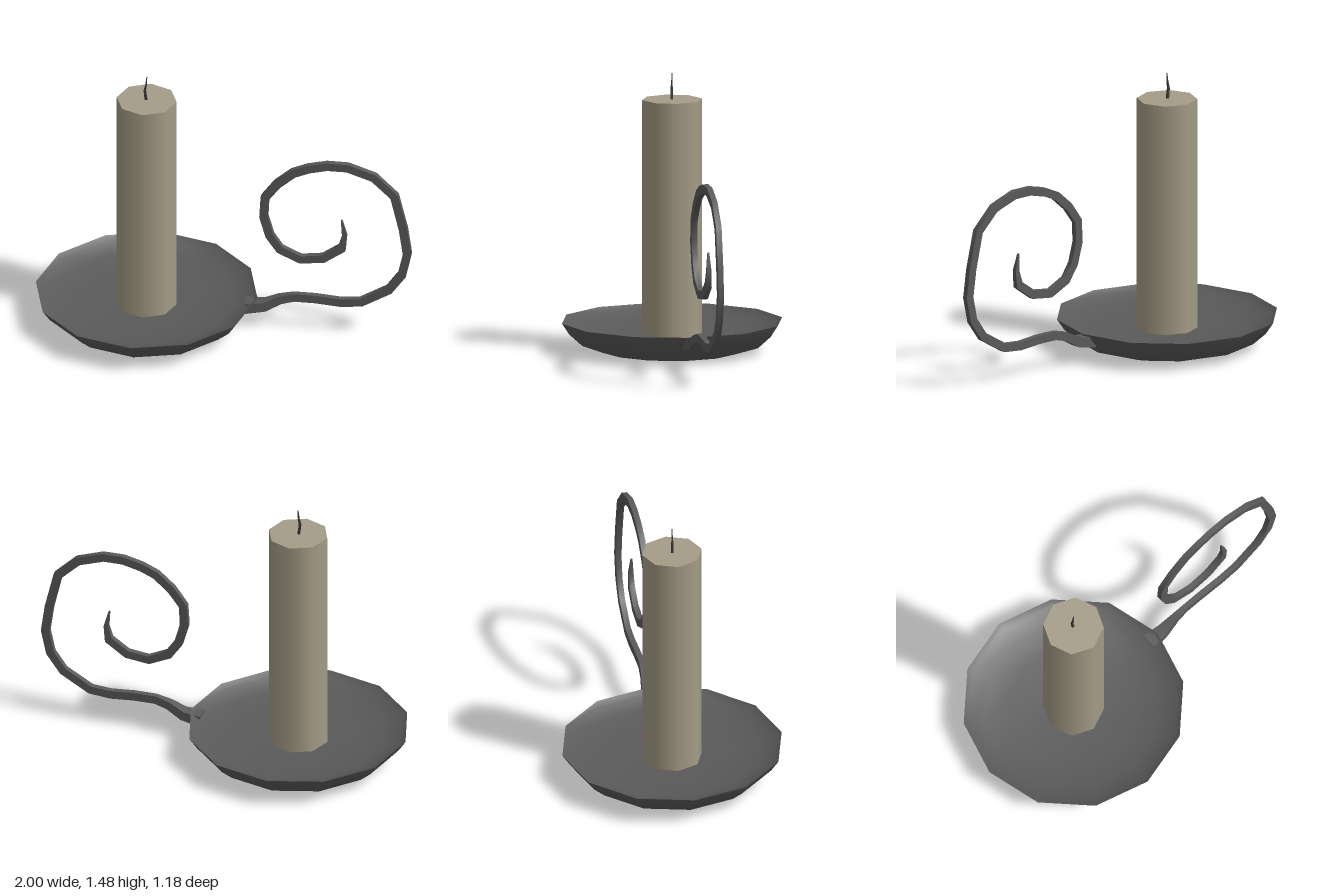
import * as THREE from 'three';
import { toCreasedNormals } from 'three/addons/utils/BufferGeometryUtils.js';

const AXIS_X = -0.41; // centre of dish and candle

// Sweeps a rectangular bar along points [x, y, halfHeight, halfDepth] in the XY plane
function sweepBar(path) {
  const pos = [], idx = [], n = path.length;
  path.forEach(([x, y, h, d], i) => {
    const a = path[Math.max(i - 1, 0)], b = path[Math.min(i + 1, n - 1)];
    const t = new THREE.Vector2(b[0] - a[0], b[1] - a[1]).normalize();
    for (const [u, w] of [[1, 1], [1, -1], [-1, -1], [-1, 1]])
      pos.push(x - t.y * h * u, y + t.x * h * u, d * w);
  });
  for (let i = 0; i < n - 1; i++)
    for (let k = 0; k < 4; k++) {
      const a = i * 4 + k, b = i * 4 + (k + 1) % 4;
      idx.push(a, a + 4, b, b, a + 4, b + 4);
    }
  const e = (n - 1) * 4;
  idx.push(0, 1, 2, 0, 2, 3, e, e + 2, e + 1, e, e + 3, e + 2);
  const g = new THREE.BufferGeometry();
  g.setAttribute('position', new THREE.Float32BufferAttribute(pos, 3));
  g.setIndex(idx);
  return toCreasedNormals(g, 0.9);
}

export function createModel() {
  const metal = new THREE.MeshStandardMaterial({ name: 'darkMetal', color: 0x5a5a5a });
  const wax = new THREE.MeshStandardMaterial({ name: 'wax', color: 0xa59c87 });
  const char = new THREE.MeshStandardMaterial({ name: 'charredWick', color: 0x3a3a3a });

  const group = new THREE.Group();
  group.name = 'candleHolder';
  const add = (name, geometry, material) => {
    const mesh = new THREE.Mesh(geometry, material);
    mesh.name = name;
    group.add(mesh);
    return mesh;
  };

  // Twelve-sided dish: underside, flared wall, rim, then the shallow inside
  const profile = [[0, 0], [0.36, 0], [0.48, 0.037], [0.55, 0.1], [0.59, 0.16],
    [0.56, 0.137], [0.47, 0.108], [0.34, 0.09], [0, 0.085]].map(p => new THREE.Vector2(...p));
  add('dish', toCreasedNormals(new THREE.LatheGeometry(profile, 12), 0.85), metal).position.x = AXIS_X;

  // Eight-sided candle standing on the dish floor
  add('candle', new THREE.CylinderGeometry(0.16, 0.16, 1.27, 8), wax).position.set(AXIS_X, 0.705, 0);

  // Thin bent wick
  add('wick', sweepBar([[-0.412, 1.33, 0.007, 0.006], [-0.42, 1.395, 0.006, 0.005],
    [-0.412, 1.44, 0.004, 0.003], [-0.409, 1.48, 0.002, 0.002]]), char);

  // Curled handle, flared at the dish and tapered at its tip
  const curl = [[0.3, 0.17], [0.375, 0.19], [0.49, 0.19], [0.62, 0.18], [0.73, 0.19], [0.88, 0.28],
    [0.95, 0.38], [0.978, 0.51], [0.957, 0.66], [0.91, 0.86], [0.8, 0.967], [0.66, 1.015],
    [0.55, 1.015], [0.45, 0.99], [0.37, 0.955], [0.285, 0.88], [0.22, 0.79], [0.214, 0.675],
    [0.246, 0.56], [0.3, 0.48], [0.41, 0.428], [0.53, 0.444], [0.63, 0.515]]
    .map(([x, y], i) => [x, y, 0.023, i === 0 ? 0.02 : 0.015]);
  add('handle', sweepBar([[0.12, 0.115, 0.03, 0.042], [0.22, 0.127, 0.026, 0.031], ...curl,
    [0.644, 0.595, 0.013, 0.012], [0.628, 0.685, 0.004, 0.005]]), metal);

  return group;
}
